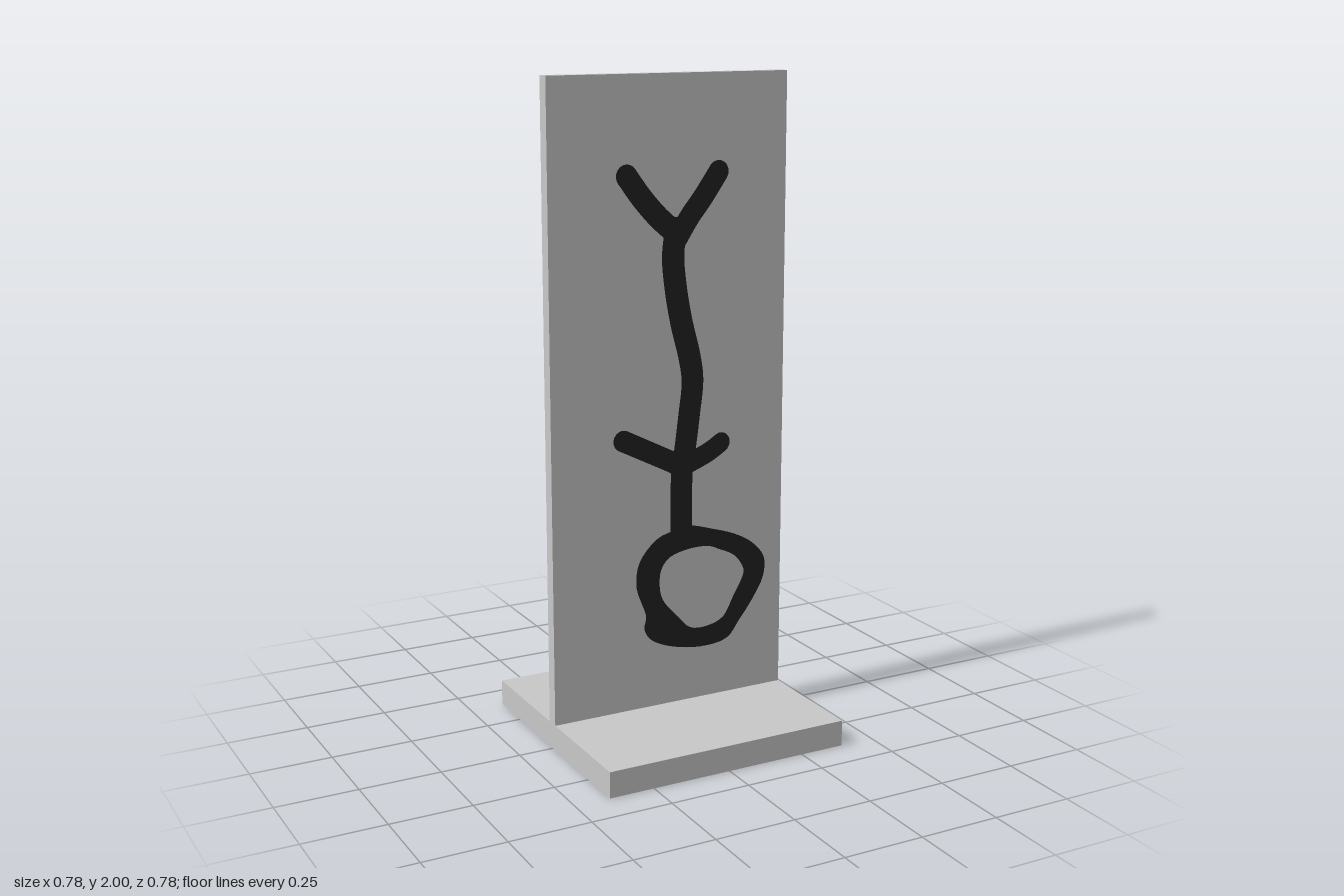
import * as THREE from 'three';

const HALF = 0.391, BOARD = 0.02, BASE_H = 0.08;

const toVectors = (pts) => pts.map(([x, y]) => new THREE.Vector2(x, y));

// Flat brush stroke of radius r with round ends, following a smooth curve
function strokeGeometry(pts, r) {
  const curve = new THREE.SplineCurve(toVectors(pts));
  const n = pts.length * 6, left = [], right = [];
  for (let i = 0; i <= n; i++) {
    const p = curve.getPoint(i / n), t = curve.getTangent(i / n);
    left.push(new THREE.Vector2(p.x - t.y * r, p.y + t.x * r));
    right.push(new THREE.Vector2(p.x + t.y * r, p.y - t.x * r));
  }
  // Half circle running clockwise around a stroke end
  const cap = (u, from) => {
    const c = curve.getPoint(u), t = curve.getTangent(u), a = Math.atan2(t.y, t.x) + from;
    return Array.from({ length: 9 }, (_, k) => {
      const b = a - ((k + 1) * Math.PI) / 10;
      return new THREE.Vector2(c.x + Math.cos(b) * r, c.y + Math.sin(b) * r);
    });
  };
  return new THREE.ShapeGeometry(new THREE.Shape(
    [...left, ...cap(1, Math.PI / 2), ...right.reverse(), ...cap(0, -Math.PI / 2)]));
}

// Uneven ring between two closed smooth outlines
function ringGeometry(outer, inner) {
  const loop = (pts) => {
    const c = new THREE.SplineCurve(toVectors([...pts.slice(-2), ...pts, ...pts.slice(0, 3)]));
    const total = pts.length + 4, n = pts.length * 4;
    return Array.from({ length: n }, (_, i) => c.getPoint((2 + i / 4) / total));
  };
  const shape = new THREE.Shape(loop(outer));
  shape.holes.push(new THREE.Path(loop(inner)));
  return new THREE.ShapeGeometry(shape);
}

// Each drawing is given as seen when looking straight at its side
const frontDrawing = {
  outer: [[-0.106, 0.55], [-0.116, 0.47], [-0.085, 0.38], [-0.09, 0.335], [-0.063, 0.294],
    [0.01, 0.262], [0.106, 0.246], [0.196, 0.257], [0.243, 0.31], [0.291, 0.373], [0.328, 0.44],
    [0.33, 0.505], [0.286, 0.558], [0.222, 0.595], [0.143, 0.622], [0.064, 0.643], [0, 0.632], [-0.053, 0.611]],
  inner: [[0.064, 0.569], [0, 0.553], [-0.032, 0.516], [-0.037, 0.458], [-0.021, 0.41], [0.026, 0.357],
    [0.069, 0.315], [0.127, 0.31], [0.185, 0.331], [0.222, 0.394], [0.254, 0.452], [0.254, 0.484],
    [0.222, 0.526], [0.169, 0.553], [0.127, 0.569]],
  strokes: {
    trunk: [0.037, [0.037, 0.61], [0.038, 0.8], [0.05, 0.89], [0.063, 0.99], [0.074, 1.09],
      [0.063, 1.17], [0.037, 1.27], [0.018, 1.37], [0.008, 1.47], [0.018, 1.55]],
    leftLeg: [0.034, [-0.143, 1.712], [-0.095, 1.648], [-0.042, 1.59], [0.01, 1.545]],
    rightLeg: [0.034, [0.159, 1.712], [0.106, 1.638], [0.063, 1.585], [0.02, 1.52]],
    leftArm: [0.032, [-0.159, 0.934], [-0.063, 0.885], [0.005, 0.85], [0.04, 0.83]],
    rightArm: [0.032, [0.172, 0.891], [0.127, 0.865], [0.05, 0.835]],
  },
};
const backDrawing = {
  outer: [[-0.152, 0.468], [-0.13, 0.534], [-0.051, 0.594], [-0.007, 0.626], [0.065, 0.633],
    [0.144, 0.608], [0.202, 0.538], [0.224, 0.451], [0.209, 0.381], [0.159, 0.308], [0.094, 0.278],
    [0.036, 0.275], [-0.007, 0.303], [-0.058, 0.342], [-0.123, 0.404]],
  inner: [[-0.079, 0.507], [-0.051, 0.548], [0.007, 0.571], [0.065, 0.56], [0.115, 0.527],
    [0.151, 0.471], [0.151, 0.418], [0.123, 0.39], [0.094, 0.394], [0.05, 0.404], [-0.007, 0.428], [-0.058, 0.46]],
  strokes: {
    trunk: [0.038, [0.025, 0.61], [0.025, 1], [0.025, 1.25], [0.027, 1.48]],
    leftLeg: [0.034, [-0.115, 1.655], [-0.07, 1.6], [-0.02, 1.51], [0.02, 1.43]],
    rightLeg: [0.036, [0.215, 1.735], [0.16, 1.66], [0.09, 1.56], [0.036, 1.46]],
    leftArm: [0.032, [-0.137, 0.925], [-0.087, 0.878], [-0.03, 0.82], [0.015, 0.785]],
    rightArm: [0.036, [0.173, 0.908], [0.115, 0.835], [0.04, 0.8]],
  },
};

export function createModel() {
  const model = new THREE.Group();
  const grey = new THREE.MeshStandardMaterial({ color: 0xc8c8c8 });
  grey.name = 'light grey';
  const black = new THREE.MeshStandardMaterial({ color: 0x222222 });
  black.name = 'black paint';

  const add = (parent, name, geometry, material) => {
    const mesh = new THREE.Mesh(geometry, material);
    mesh.name = name;
    parent.add(mesh);
    return mesh;
  };

  // Square foot and thin upright board
  add(model, 'base', new THREE.BoxGeometry(2 * HALF, BASE_H, 2 * HALF), grey).position.y = BASE_H / 2;
  add(model, 'board', new THREE.BoxGeometry(2 * HALF, 2 - BASE_H, 2 * BOARD), grey).position.y = 1 + BASE_H / 2;

  // Painted upside-down figure, one on each face of the board
  const paint = (name, drawing, turn) => {
    const group = new THREE.Group();
    group.name = name;
    add(group, 'head', ringGeometry(drawing.outer, drawing.inner), black);
    for (const [part, [radius, ...pts]] of Object.entries(drawing.strokes)) {
      add(group, part, strokeGeometry(pts, radius), black);
    }
    group.children.forEach((m) => { m.position.z = BOARD + 0.002; });
    group.rotation.y = turn;
    model.add(group);
  };
  paint('frontFigure', frontDrawing, 0);
  paint('backFigure', backDrawing, Math.PI);

  return model;
}
